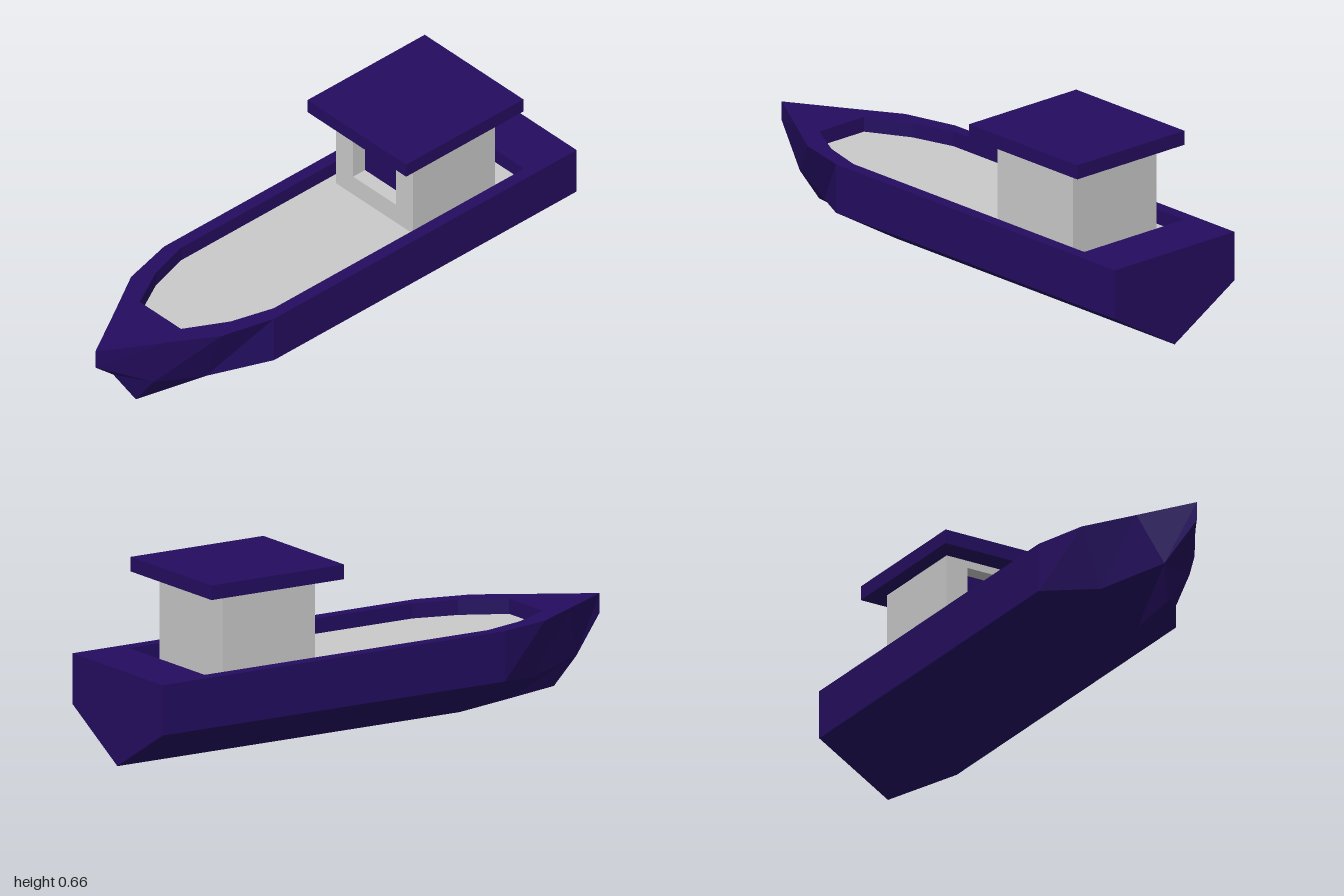
import * as THREE from 'three';

const navy = new THREE.MeshStandardMaterial({ color: 0x240d60 });
navy.name = 'navy paint';
const grey = new THREE.MeshStandardMaterial({ color: 0xcacaca });
grey.name = 'light grey paint';

const RAIL = 0.344, FLOOR = 0.29;

// Faceted geometry from convex polygons, each counter-clockwise seen from outside
function facets(polygons) {
  const pos = [];
  for (const p of polygons)
    for (let i = 1; i < p.length - 1; i++) pos.push(...p[0], ...p[i], ...p[i + 1]);
  const g = new THREE.BufferGeometry();
  g.setAttribute('position', new THREE.Float32BufferAttribute(pos, 3));
  g.computeVertexNormals();
  return g;
}

function add(parent, name, geometry, material, x = 0, y = 0, z = 0) {
  const m = new THREE.Mesh(geometry, material);
  m.name = name;
  m.position.set(x, y, z);
  parent.add(m);
  return m;
}

// Closed outline mirrored across x, from [halfWidth, z] points; drawn with y = -z
function outline(points) {
  const left = points.map(([x, z]) => new THREE.Vector2(x, -z));
  const right = points.filter(([x]) => x > 0).reverse().map(([x, z]) => new THREE.Vector2(-x, -z));
  return [...left, ...right];
}

const railLine = [[0.28, -1], [0.28, 0.42], [0.23, 0.62], [0.12, 0.8], [0, 1]];
const wellLine = [[0.235, -0.795], [0.235, 0.38], [0.19, 0.54], [0.105, 0.695]];

function hullSkin() {
  const keel = [[0, 0, -1], [0, 0, 0.42], [0, 0.02, 0.62], [0, 0.04, 0.81]];
  const bow = [0, 0.275, 1];
  const shared = [[0.28, 0.165, -1], [0.28, 0.165, 0.42], [0.15, 0.127, 0.62]];
  // The forefoot facets differ slightly from side to side
  const forefoot = { 1: [0.09, 0.165, 0.81], '-1': [-0.05, 0.15, 0.87] };
  const faces = [];
  for (const s of [1, -1]) {
    const put = (...p) => faces.push(s > 0 ? p : p.reverse());
    const top = railLine.map(([x, z]) => [s * x, RAIL, z]);
    const chine = [...shared.map(([x, y, z]) => [s * x, y, z]), forefoot[s], bow];
    for (let i = 0; i < 4; i++) {
      put(top[i], top[i + 1], chine[i + 1], chine[i]);
      if (i < 3) put(chine[i], chine[i + 1], keel[i + 1], keel[i]);
    }
  }
  // Stem below the bow, then the transom
  faces.push([forefoot[1], bow, forefoot[-1], keel[3]]);
  faces.push([keel[0], [-0.28, 0.165, -1], [-0.28, RAIL, -1], [0.28, RAIL, -1], [0.28, 0.165, -1]]);
  return facets(faces);
}

function wellWalls() {
  const pts = outline(wellLine);
  return facets(pts.map((a, i) => {
    const b = pts[(i + 1) % pts.length];
    return [[a.x, RAIL, -a.y], [b.x, RAIL, -b.y], [b.x, FLOOR, -b.y], [a.x, FLOOR, -a.y]];
  }));
}

export function createModel() {
  const boat = new THREE.Group();
  boat.name = 'boat';

  // Hull with a sunken deck
  const hull = new THREE.Group();
  hull.name = 'hull';
  boat.add(hull);
  add(hull, 'hullSkin', hullSkin(), navy);
  const rim = new THREE.Shape(outline(railLine));
  rim.holes.push(new THREE.Path(outline(wellLine)));
  add(hull, 'gunwale', new THREE.ShapeGeometry(rim), navy, 0, RAIL).rotation.x = -Math.PI / 2;
  const walls = wellWalls();
  const wallPaint = navy.clone();
  wallPaint.side = THREE.DoubleSide;
  add(hull, 'deckWalls', walls, wallPaint);
  const floor = new THREE.ShapeGeometry(new THREE.Shape(outline(wellLine)));
  add(hull, 'deck', floor, grey, 0, FLOOR).rotation.x = -Math.PI / 2;

  // Wheelhouse: solid body with a framed window recess in front
  const cabin = new THREE.Group();
  cabin.name = 'wheelhouse';
  boat.add(cabin);
  const height = 0.61 - FLOOR;
  add(cabin, 'cabinBody', new THREE.BoxGeometry(0.39, height, 0.325), grey, 0, FLOOR + height / 2, -0.5325);
  const rect = (Type, x, y0, y1) => new Type([[-x, y0], [x, y0], [x, y1], [-x, y1]].map(p => new THREE.Vector2(...p)));
  const frame = rect(THREE.Shape, 0.195, FLOOR, 0.61);
  frame.holes.push(rect(THREE.Path, 0.109, 0.367, 0.583));
  add(cabin, 'windowFrame', new THREE.ExtrudeGeometry(frame, { depth: 0.06, bevelEnabled: false }), grey, 0, 0, -0.37);
  add(cabin, 'window', new THREE.BoxGeometry(0.218, 0.216, 0.004), navy, 0, 0.475, -0.368);
  add(cabin, 'roof', new THREE.BoxGeometry(0.502, 0.052, 0.55), navy, 0, 0.636, -0.502);

  return boat;
}
